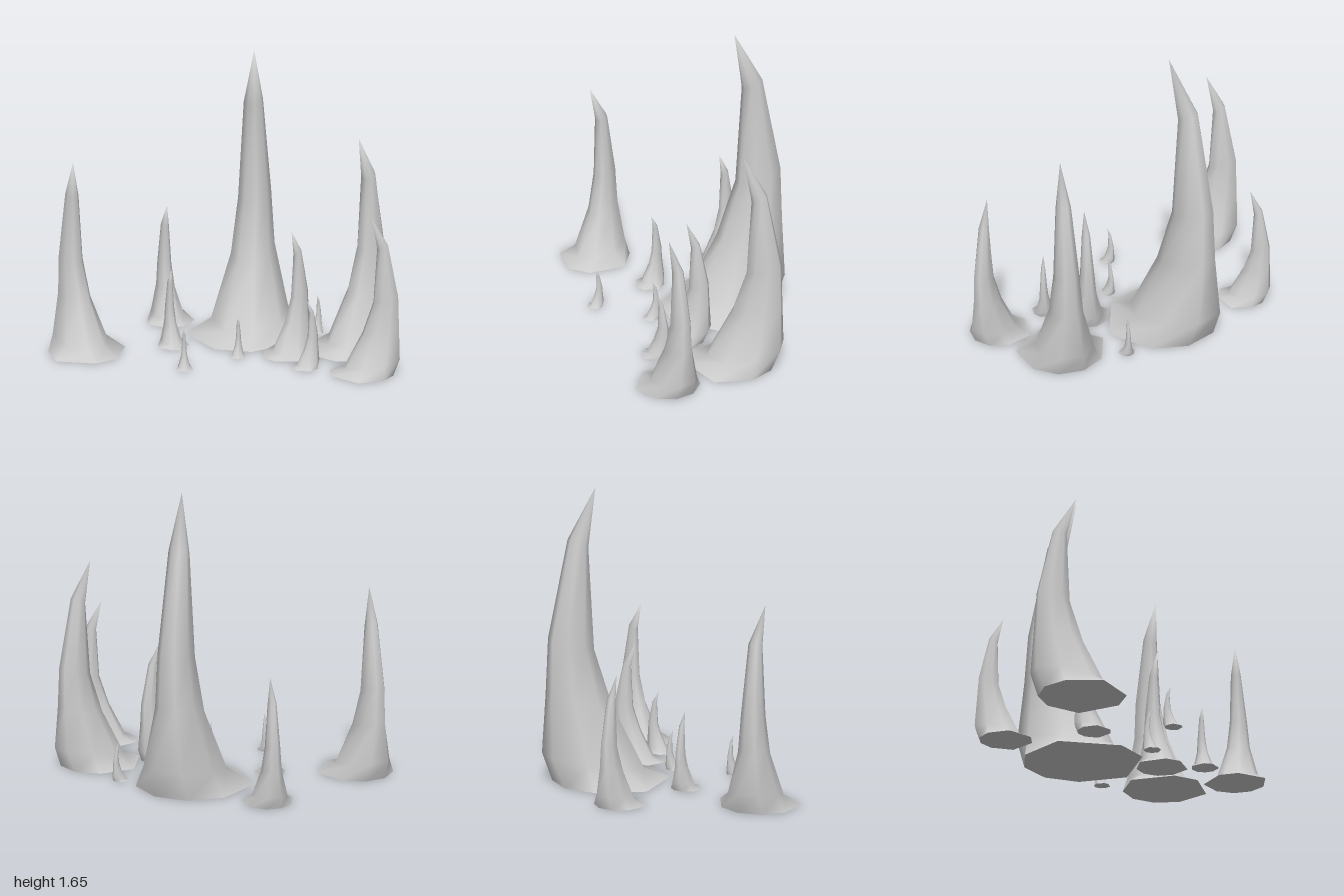
import * as THREE from 'three';

// Unit spike: half outline of the flared foot, front to back, as [x, z]
const FOOT = [[0.105, 0.32], [0.345, 0.07], [0.265, -0.2], [0.1, -0.32]];
// Tilted rings up the curved horn: front z, front y, back z, back y, half width
const RINGS = [
  [0.17, 0.06, -0.385, 0.17, 0.205],
  [-0.01, 0.43, -0.373, 0.52, 0.115],
  [-0.115, 0.76, -0.36, 0.83, 0.088],
  [-0.14, 1.33, -0.245, 1.375, 0.052],
];
const HEIGHT = 1.655;
const SIDES = 8;

function spikeGeometry(tipX) {
  const pos = [];
  const index = [];
  const foot = [...FOOT, ...FOOT.slice().reverse().map(([x, z]) => [-x, z])];
  const addFoot = () => foot.forEach(([x, z]) => pos.push(x, 0, z));

  // Foot outline, then the octagonal rings
  addFoot();
  const c = Math.cos(Math.PI / SIDES);
  for (const [zf, yf, zb, yb, w] of RINGS) {
    for (let i = 0; i < SIDES; i++) {
      const a = ((i + 0.5) / SIDES) * Math.PI * 2;
      const t = 0.5 - Math.cos(a) / c / 2; // 0 at the front, 1 at the back
      pos.push((Math.sin(a) / c) * w, yf + (yb - yf) * t, zf + (zb - zf) * t);
    }
  }
  // Walls
  for (let r = 0; r < RINGS.length; r++) {
    for (let i = 0; i < SIDES; i++) {
      const j = (i + 1) % SIDES;
      const a = r * SIDES + i, b = r * SIDES + j;
      index.push(a, b, b + SIDES, a, b + SIDES, a + SIDES);
    }
  }
  // Pointed tip
  const top = RINGS.length * SIDES;
  const tip = pos.length / 3;
  pos.push(tipX, HEIGHT, -0.075);
  for (let i = 0; i < SIDES; i++) index.push(top + i, top + ((i + 1) % SIDES), tip);

  // Flat underside with its own corners, so the rim stays sharp
  const base = pos.length / 3;
  addFoot();
  for (let i = 1; i < SIDES - 1; i++) index.push(base, base + i + 1, base + i);

  const geo = new THREE.BufferGeometry();
  geo.setAttribute('position', new THREE.Float32BufferAttribute(pos, 3));
  geo.setIndex(index);
  geo.computeVertexNormals();
  return geo;
}

// x, z, height, turn in degrees, sideways lean of the tip
const SPIKES = [
  [0.025, -0.18, 1.655, 0, 0.03],
  [0.665, -0.04, 1.205, -28, -0.01],
  [-0.776, 0.346, 1.085, 49, -0.05],
  [0.789, 0.357, 0.86, -75, 0.03],
  [-0.477, -0.336, 0.705, 32, 0],
  [0.332, 0.14, 0.705, -32, 0],
  [-0.332, 0.127, 0.44, 31, 0],
  [0.469, 0.337, 0.375, -45, 0],
  [0.415, -0.305, 0.23, -25, 0],
  [0.07, 0.24, 0.23, 0, 0],
  [-0.165, 0.51, 0.23, 15, 0],
];

export function createModel() {
  const group = new THREE.Group();
  group.name = 'spikeCluster';
  const material = new THREE.MeshStandardMaterial({ color: 0xcccccc });
  SPIKES.forEach(([x, z, height, turn, lean], i) => {
    const spike = new THREE.Mesh(spikeGeometry(lean), material);
    spike.name = `spike${i + 1}`;
    spike.position.set(x, 0, z);
    spike.rotation.y = THREE.MathUtils.degToRad(turn);
    spike.scale.setScalar(height / HEIGHT);
    group.add(spike);
  });
  return group;
}
